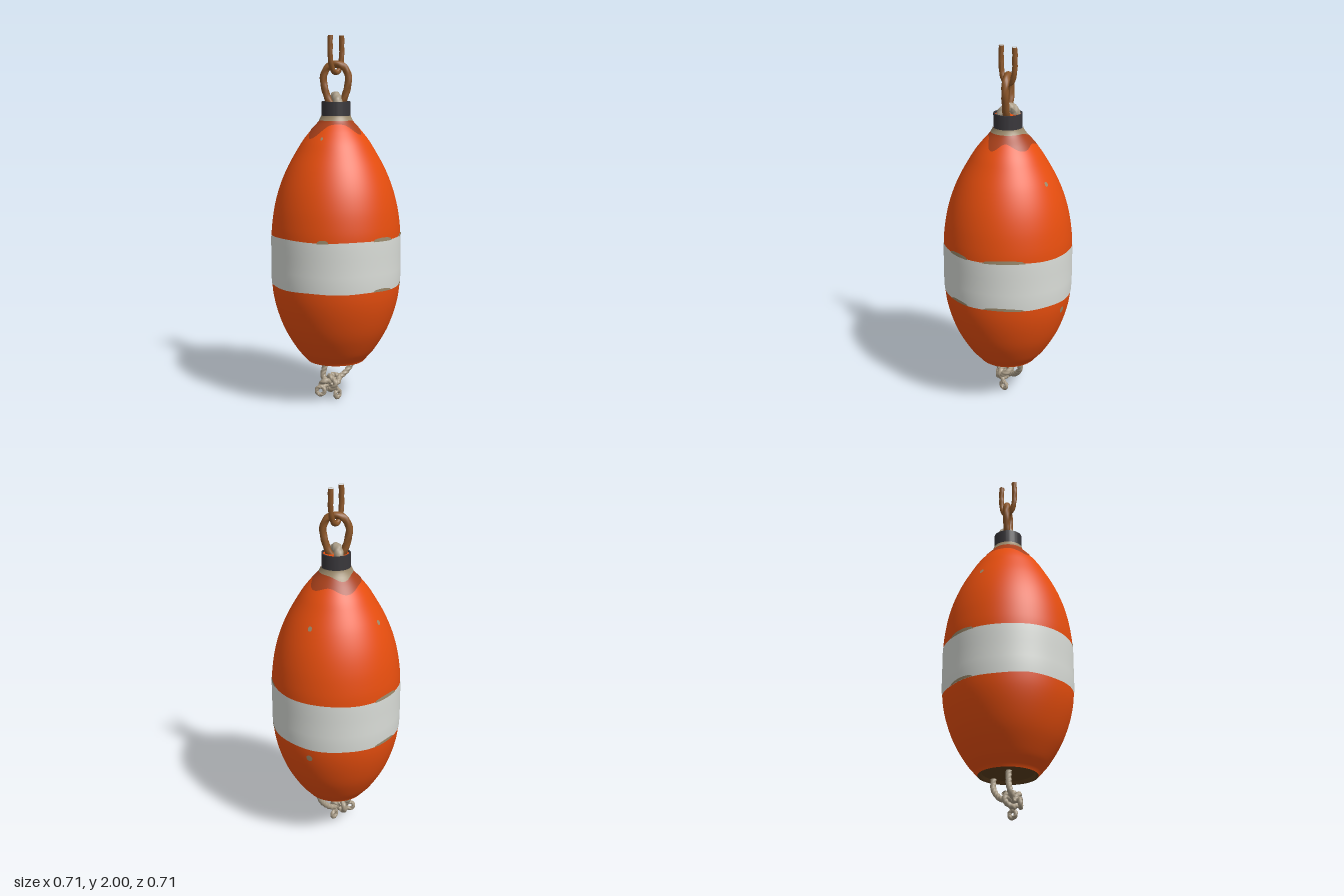
import * as THREE from 'three';
import { toCreasedNormals } from 'three/addons/utils/BufferGeometryUtils.js';

const mat = (name, color, side = THREE.FrontSide) => {
  const m = new THREE.MeshStandardMaterial({ color, side });
  m.name = name;
  return m;
};

export function createModel() {
  const group = new THREE.Group();
  group.name = 'mooringBuoy';
  const orange = mat('orange paint', 0xe84e0e);
  const white = mat('white paint', 0xd9dcd7);
  const tan = mat('worn tan', 0x9c8a6c);
  const stain = mat('rust stain', 0xa8401a);
  const dark = mat('dark rubber', 0x39373b);
  const rust = mat('rusty iron', 0x8a5528);
  const rope = mat('rope', 0xa89b86, THREE.DoubleSide);
  const brown = mat('bottom brown', 0x5c3f1e);
  const steel = mat('cut steel', 0xc4c2bc);

  const add = (name, geometry, material) => {
    const mesh = new THREE.Mesh(geometry, material);
    mesh.name = name;
    group.add(mesh);
  };

  // Float profile as (height, radius)
  const samples = new THREE.SplineCurve([
    [0.23, 0.158], [0.25, 0.175], [0.3, 0.217], [0.4, 0.277], [0.5, 0.317], [0.6, 0.342],
    [0.7, 0.351], [0.8, 0.351], [0.92, 0.351], [1.0, 0.346], [1.1, 0.33], [1.2, 0.302],
    [1.3, 0.26], [1.4, 0.204], [1.45, 0.172], [1.5, 0.132], [1.53, 0.104], [1.55, 0.087], [1.575, 0.075],
  ].map(([y, r]) => new THREE.Vector2(y, r))).getPoints(180);
  const radiusAt = (y) => {
    let i = 1;
    while (i < samples.length - 1 && samples[i].x < y) i++;
    const a = samples[i - 1], b = samples[i];
    return THREE.MathUtils.mapLinear(THREE.MathUtils.clamp(y, 0.23, 1.575), a.x, b.x, a.y, b.y);
  };

  // Patch of the float's skin between two heights that may vary with the angle
  const skin = (name, material, low, high, offset, rows, cols = 96, a0 = 0, a1 = Math.PI * 2) => {
    const pos = [], nor = [], idx = [];
    for (let j = 0; j <= rows; j++) {
      for (let i = 0; i <= cols; i++) {
        const a = a0 + (a1 - a0) * i / cols;
        const y = THREE.MathUtils.lerp(low(a), high(a), j / rows);
        const r = radiusAt(y) + offset;
        const slope = (radiusAt(y + 0.01) - radiusAt(y - 0.01)) / 0.02;
        const n = new THREE.Vector3(Math.sin(a), -slope, Math.cos(a)).normalize();
        pos.push(r * Math.sin(a), y, r * Math.cos(a));
        nor.push(n.x, n.y, n.z);
        if (i < cols && j < rows) {
          const p = j * (cols + 1) + i, q = p + cols + 1;
          idx.push(p, p + 1, q + 1, p, q + 1, q);
        }
      }
    }
    const g = new THREE.BufferGeometry();
    g.setAttribute('position', new THREE.Float32BufferAttribute(pos, 3));
    g.setAttribute('normal', new THREE.Float32BufferAttribute(nor, 3));
    g.setIndex(idx);
    add(name, g, material);
  };

  // Float body and slightly tilted painted band
  const tilt = (a) => 0.014 * Math.max(0, -Math.cos(a));
  const bandLow = (a) => 0.667 - tilt(a) + 0.002 * Math.sin(7 * a);
  const bandHigh = (a) => 0.938 - tilt(a) + 0.002 * Math.sin(5 * a + 1);
  skin('floatBody', orange, () => 0.23, () => 1.575, 0, 80);
  skin('whiteBand', white, bandLow, bandHigh, 0.002, 6);

  // Worn paint along the band edges, given as angle ranges in degrees
  [[55, 92, true], [18, 40, true], [-32, -22, false], [195, 222, true]].forEach(([d0, d1, both]) => {
    const a0 = THREE.MathUtils.degToRad(d0), a1 = THREE.MathUtils.degToRad(d1);
    const wave = (a) => 0.016 * Math.pow(Math.max(0, Math.sin(Math.PI * (a - a0) / (a1 - a0))), 0.4);
    skin('wornUpperEdge', tan, (a) => bandHigh(a) - 0.004, (a) => bandHigh(a) + wave(a), 0.003, 1, 16, a0, a1);
    if (both) skin('wornLowerEdge', tan, bandLow, (a) => bandLow(a) + wave(a), 0.003, 1, 16, a0, a1);
  });

  // Small chips in the paint
  [[135, 0.6, 0.018], [128, 1.31, 0.012], [219, 1.31, 0.012], [-42, 1.46, 0.008]].forEach(([deg, y, s]) => {
    const c = THREE.MathUtils.degToRad(deg), w = s / radiusAt(y);
    const h = (a) => s * Math.sqrt(Math.max(0, 1 - ((a - c) / w) ** 2));
    skin('paintChip', tan, (a) => y - h(a), (a) => y + h(a), 0.002, 2, 12, c - w, c + w);
  });

  // Irregular stain and pale ring below the collar
  const bump = (a, deg, width) => {
    const d = (a * 180 / Math.PI - deg + 540) % 360 - 180;
    return Math.exp(-d * d / (width * width));
  };
  skin('neckStain', stain, (a) => 1.532 - 0.055 * bump(a, 110, 32) - 0.06 * bump(a, 180, 32)
    - 0.07 * bump(a, 292, 22) - 0.055 * bump(a, 42, 20) - 0.03 * bump(a, 240, 40), () => 1.56, 0.002, 8);
  skin('neckRing', tan, (a) => 1.55 - 0.025 * bump(a, 180, 28), () => 1.575, 0.004, 3);

  // Collar with its orange core, and the shallow recess in the bottom
  const lathe = (pts) => toCreasedNormals(
    new THREE.LatheGeometry(pts.map(([r, y]) => new THREE.Vector2(r, y)), 64), 0.6);
  add('collar', lathe([[0.07, 1.572], [0.077, 1.572], [0.077, 1.65], [0.069, 1.65], [0.069, 1.63]]), dark);
  const disc = (radius, x, y, z) => new THREE.CircleGeometry(radius, 48).rotateX(-Math.PI / 2).translate(x, y, z);
  add('collarCore', disc(0.07, 0, 1.642, 0), orange);
  add('bottomRecess', lathe([[0, 0.245], [0.135, 0.245], [0.145, 0.231], [0.158, 0.23]]), brown);

  // Tube with twisted strands along a path
  const twisted = (name, material, points, radius, { closed = false, seg = 80, turns = 6, depth = 0.1 } = {}) => {
    const path = new THREE.CatmullRomCurve3(points.map((p) => new THREE.Vector3(...p)), closed);
    const sides = 15;
    const g = new THREE.TubeGeometry(path, seg, radius, sides, closed);
    const p = g.attributes.position, v = new THREE.Vector3();
    for (let i = 0; i < p.count; i++) {
      const ring = Math.floor(i / (sides + 1)), side = i % (sides + 1);
      const c = path.getPointAt(ring / seg);
      const phase = 3 * Math.PI * 2 * side / sides + Math.PI * 2 * turns * ring / seg;
      v.fromBufferAttribute(p, i).sub(c).multiplyScalar(1 + depth * Math.cos(phase)).add(c);
      p.setXYZ(i, v.x, v.y, v.z);
    }
    g.computeVertexNormals();
    add(name, g, material);
  };

  // Lower chain link, an egg-shaped ring turned about the vertical
  const half = [[0.034, 1.645], [0.058, 1.71], [0.068, 1.775], [0.046, 1.83]];
  const egg = [[0, 1.622], ...half, [0, 1.848], ...half.map(([s, y]) => [-s, y]).reverse()];
  twisted('lowerChainLink', rust, egg.map(([s, y]) => [s * 0.9, y, s * 0.44]), 0.019,
    { closed: true, seg: 110, turns: 8, depth: 0.07 });

  // Upper half link, cut off at the top
  const u = [[1, 1.998], [1.05, 1.92], [0.9, 1.85], [0.5, 1.813]];
  const hook = [...u, [0, 1.803], ...u.map(([s, y]) => [-s, y]).reverse()];
  twisted('upperChainLink', rust, hook.map(([s, y]) => [s * 0.038, y, -s * 0.026]), 0.014, { turns: 7, depth: 0.07 });
  [1, -1].forEach((s) => add('cutLinkEnd', disc(0.0135, s * 0.038, 2, -s * 0.026), steel));

  // Rope eye holding the chain
  twisted('ropeEye', rope, [[0, 1.62, -0.043], [0, 1.655, -0.038], [0, 1.678, -0.015], [0, 1.673, 0.012],
    [0, 1.65, 0.034], [0, 1.62, 0.04]], 0.025, { turns: 5, depth: 0.06 });

  // Rope tail: two strands tied in a knot with curled ends
  twisted('tailStrandRight', rope, [[-0.045, 0.25, -0.01], [-0.058, 0.19, -0.015], [-0.07, 0.13, -0.01],
    [-0.045, 0.095, 0.02], [0, 0.1, 0.03], [0.015, 0.125, 0], [-0.02, 0.13, -0.025]], 0.015, { turns: 12 });
  twisted('tailStrandLeft', rope, [[0.125, 0.25, -0.04], [0.11, 0.19, -0.045], [0.07, 0.14, -0.035],
    [0.02, 0.11, -0.02], [-0.03, 0.105, 0.02], [-0.075, 0.115, 0.035], [-0.09, 0.09, 0.01]], 0.015, { turns: 12 });
  twisted('knotLoop', rope, [[-0.035, 0.13, 0.02], [-0.015, 0.1, 0.045], [-0.03, 0.065, 0.03],
    [-0.045, 0.06, 0], [-0.04, 0.09, -0.03], [-0.035, 0.125, -0.015]], 0.014, { closed: true, turns: 9 });
  const curl = (name, x, y, z, r, turn) => {
    const pts = [];
    for (let k = 0; k < 8; k++) {
      const a = k * Math.PI / 4;
      pts.push([x + r * Math.cos(a) * Math.cos(turn), y + r * Math.sin(a), z + r * Math.cos(a) * Math.sin(turn)]);
    }
    twisted(name, rope, pts, 0.011, { closed: true, seg: 48, turns: 6 });
  };
  curl('curledEndRight', -0.098, 0.062, 0.035, 0.022, 0.4);
  curl('curledEndLeft', 0.002, 0.032, 0.025, 0.02, -0.6);
  twisted('looseEndRight', rope, [[-0.04, 0.09, 0.01], [-0.07, 0.085, 0.03], [-0.1, 0.084, 0.036]], 0.012, { seg: 20, turns: 3 });
  twisted('looseEndLeft', rope, [[-0.03, 0.09, 0.02], [-0.01, 0.075, 0.03], [0.002, 0.052, 0.026]], 0.012, { seg: 20, turns: 3 });

  return group;
}
